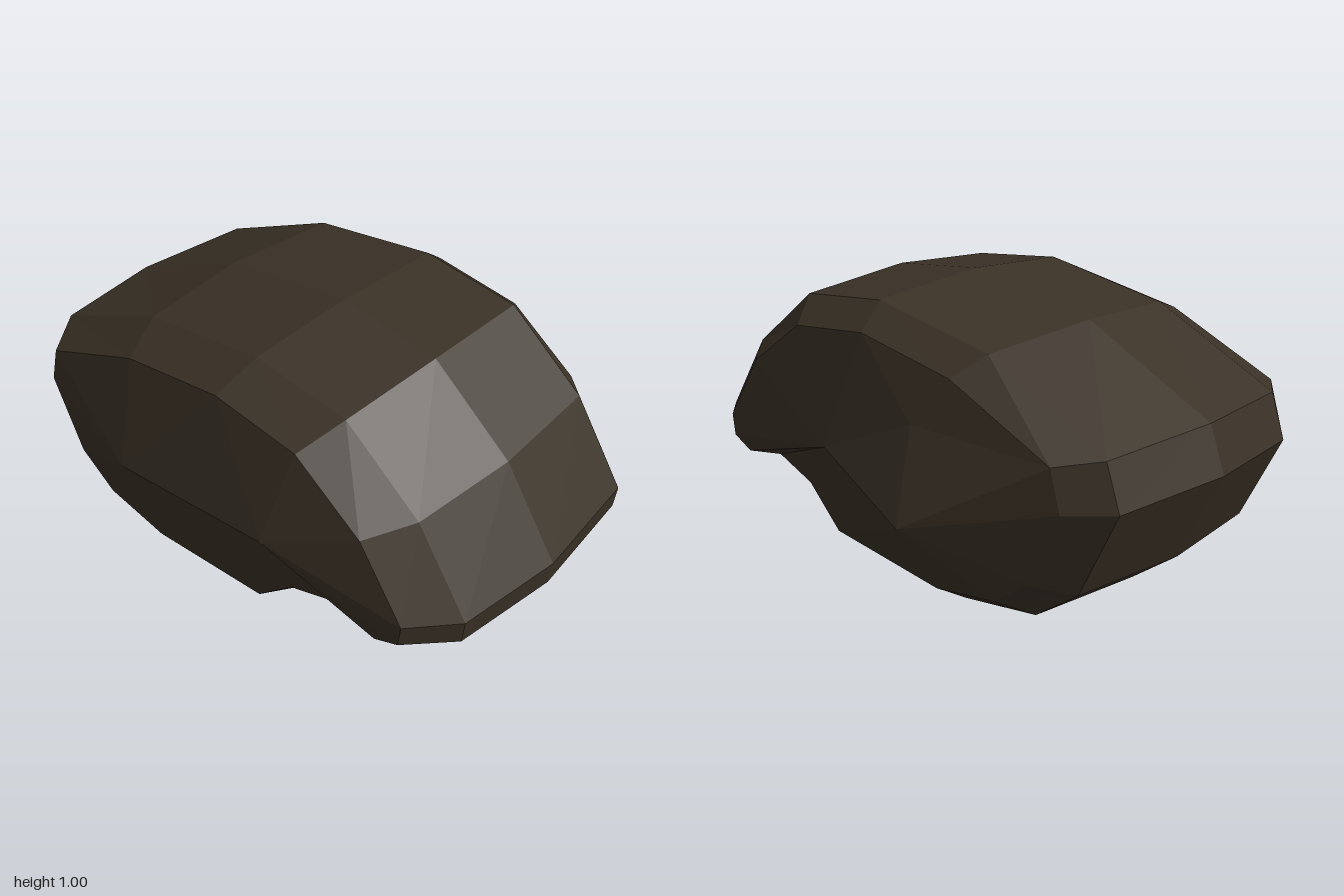
import * as THREE from 'three';

// Side profile as [z, y], from the front lip over the top and back underneath.
const OUTER = [
  [1.0, 0.39], [0.79, 0.70], [0.48, 0.95], [0.09, 1.0], [-0.44, 0.92],
  [-0.94, 0.69], [-1.0, 0.53], [-0.84, 0.20], [-0.66, 0.06], [-0.33, 0.0],
  [0.25, 0.05], [0.43, 0.19], [0.64, 0.26], [0.82, 0.23], [0.99, 0.30],
];
// The same profile where the shell turns into its sides.
const INNER = [
  [0.82, 0.41], [0.65, 0.66], [0.39, 0.845], [0.05, 0.89], [-0.36, 0.83],
  [-0.78, 0.66], [-0.82, 0.52], [-0.70, 0.25], [-0.55, 0.14], [-0.29, 0.09],
  [0.21, 0.13], [0.36, 0.27], [0.53, 0.33], [0.72, 0.29], [0.81, 0.33],
];
const N = OUTER.length;

// Cross-section at x, blended from the outer (0) to the inner (1) profile.
const ring = (x, t) => OUTER.map(([z, y], i) => new THREE.Vector3(
  x, THREE.MathUtils.lerp(y, INNER[i][1], t), THREE.MathUtils.lerp(z, INNER[i][0], t)));

function meshFrom(name, triangles, material) {
  const geometry = new THREE.BufferGeometry().setFromPoints(triangles.flat());
  geometry.computeVertexNormals();
  const mesh = new THREE.Mesh(geometry, material);
  mesh.name = name;
  return mesh;
}

// Closes one side, fanning the ring to its front, upper and rear bulge points.
function sideCap(edge, front, upper, rear, flip) {
  const hub = (i) => (i < 3 || i > 9 ? front : i < 5 ? upper : rear);
  const triangles = [[front, rear, upper]];
  for (let i = 0; i < N; i++) {
    const previous = hub((i + N - 1) % N);
    triangles.push([hub(i), edge[(i + 1) % N], edge[i]]);
    if (previous !== hub(i)) triangles.push([edge[i], previous, hub(i)]);
  }
  const solid = triangles.filter(([a, b, c]) => a !== b && b !== c && a !== c);
  return flip ? solid.map(([a, b, c]) => [a, c, b]) : solid;
}

export function createModel() {
  const group = new THREE.Group();
  group.name = 'facetedShell';
  const darkBrown = new THREE.MeshStandardMaterial({ color: 0x3a3126 });
  darkBrown.name = 'darkBrown';
  darkBrown.flatShading = true;

  // Main band running around the profile, from right to left
  const rings = [ring(-0.59, 0.94), ring(-0.43, 0.25), ring(-0.03, 0), ring(0.42, 0.25), ring(0.53, 1)];
  const band = [];
  for (let r = 0; r < rings.length - 1; r++) {
    for (let i = 0; i < N; i++) {
      const j = (i + 1) % N;
      const [a, b, c, d] = [rings[r][i], rings[r + 1][i], rings[r + 1][j], rings[r][j]];
      band.push([a, b, c], [a, c, d]);
    }
  }
  group.add(meshFrom('body', band, darkBrown));

  // Uneven bulging sides
  const v = (x, y, z) => new THREE.Vector3(x, y, z);
  group.add(meshFrom('leftSide', sideCap(
    rings[4], v(0.64, 0.50, 0.13), v(0.595, 0.67, -0.25), v(0.715, 0.37, -0.31), false), darkBrown));
  const rightRear = v(-0.72, 0.485, -0.30);
  group.add(meshFrom('rightSide', sideCap(
    rings[0], v(-0.70, 0.53, 0.34), rightRear, rightRear, true), darkBrown));
  return group;
}
